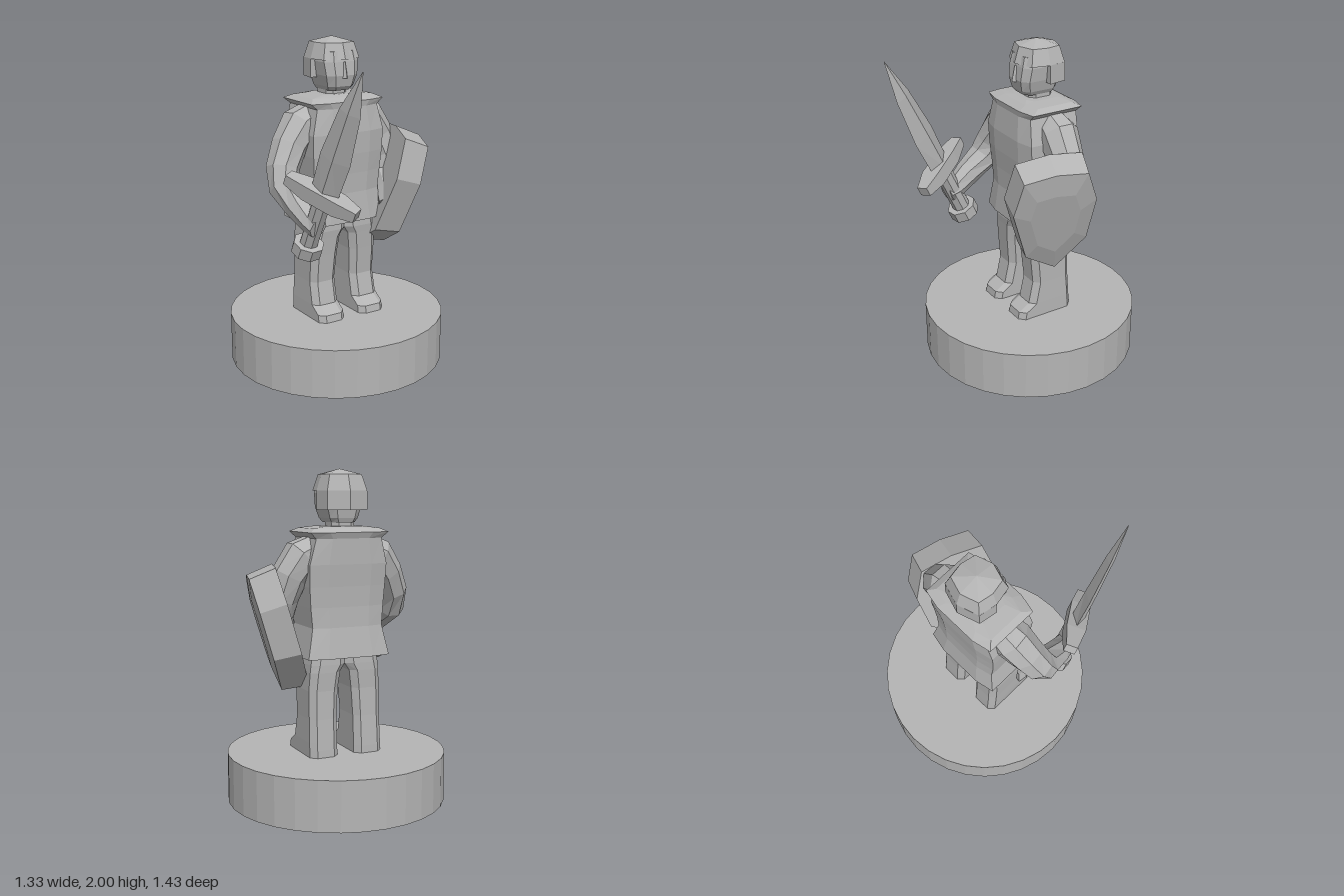
import * as THREE from 'three';

const stone = new THREE.MeshStandardMaterial({ color: 0xb4b4b4, flatShading: true });
stone.name = 'grey stone';

// Skin a stack of equal-length rings of [x, y, z] and close both ends
function loft(rings) {
  const tris = [];
  const n = rings[0].length;
  for (let k = 0; k + 1 < rings.length; k++) {
    const a = rings[k], b = rings[k + 1];
    for (let i = 0; i < n; i++) {
      const j = (i + 1) % n;
      tris.push([a[i], a[j], b[j]], [a[i], b[j], b[i]]);
    }
  }
  const cap = (r, flip) => {
    const c = [0, 1, 2].map((d) => r.reduce((s, p) => s + p[d], 0) / n);
    for (let i = 0; i < n; i++) {
      const j = (i + 1) % n;
      tris.push(flip ? [c, r[j], r[i]] : [c, r[i], r[j]]);
    }
  };
  cap(rings[0], true);
  cap(rings[rings.length - 1], false);
  // turn every face outward
  const c = rings[0][0];
  let volume = 0;
  for (const t of tris) {
    const [p, q, r] = t.map((v) => new THREE.Vector3(v[0] - c[0], v[1] - c[1], v[2] - c[2]));
    volume += p.dot(q.cross(r));
  }
  if (volume < 0) tris.forEach((t) => t.reverse());
  const g = new THREE.BufferGeometry();
  g.setAttribute('position', new THREE.Float32BufferAttribute(tris.flat(2), 3));
  g.computeVertexNormals();
  return g;
}

// Chamfered rectangular ring at height y
function boxRing(y, x0, x1, zb, zf, k = 0.55, c = 0.03) {
  const m = (x0 + x1) / 2, h = (x1 - x0) / 2;
  return [
    [m - h * k, y, zf], [m + h * k, y, zf], [x1, y, zf - c], [x1, y, zb + c],
    [m + h * k, y, zb], [m - h * k, y, zb], [x0, y, zb + c], [x0, y, zf - c],
  ];
}

// Limb through points [x, y, z, radius]
function limb(points, sides = 8) {
  const P = points.map((p) => new THREE.Vector3(p[0], p[1], p[2]));
  return loft(P.map((p, i) => {
    const t = P[Math.min(i + 1, P.length - 1)].clone().sub(P[Math.max(i - 1, 0)]).normalize();
    const u = new THREE.Vector3(0, 0, 1).addScaledVector(t, -t.z).normalize();
    const v = t.clone().cross(u);
    return Array.from({ length: sides }, (_, s) => {
      const a = ((s + 0.5) / sides) * Math.PI * 2;
      return p.clone().addScaledVector(u, Math.cos(a) * points[i][3])
        .addScaledVector(v, Math.sin(a) * points[i][3]).toArray();
    });
  }));
}

export function createModel() {
  const model = new THREE.Group();
  model.name = 'warriorStatuette';
  const add = (name, geometry, parent = model) => {
    const mesh = new THREE.Mesh(geometry, stone);
    mesh.name = name;
    parent.add(mesh);
    return mesh;
  };

  // Round plinth
  add('base', new THREE.CylinderGeometry(0.667, 0.667, 0.3, 32)).position.set(0, 0.15, -0.046);

  // Legs with feet: y, inner x, outer x, back z, front z
  const legRows = [
    [0.29, 0.055, 0.235, -0.22, 0.16], [0.345, 0.055, 0.235, -0.218, 0.15],
    [0.39, 0.055, 0.235, -0.215, 0.08], [0.53, 0.055, 0.232, -0.205, 0.05],
    [0.7, 0.045, 0.232, -0.2, 0.065], [0.81, 0.03, 0.225, -0.205, 0.075],
    [0.855, 0, 0.22, -0.205, 0.08], [0.96, 0, 0.2, -0.2, 0.075],
  ];
  for (const s of [1, -1]) {
    add(s > 0 ? 'leftLeg' : 'rightLeg', loft(legRows.map(([y, xi, xo, zb, zf]) =>
      boxRing(y, xi, xo, zb, zf, 0.6, 0.035).map(([x, py, z]) => [s * x, py, z]))));
  }

  // Tunic with flared hem and shoulder yoke: y, half width, back z, front z
  const tunicRows = [
    [0.9, 0.262, -0.262, 0.115], [1.08, 0.225, -0.235, 0.1], [1.2, 0.235, -0.232, 0.105],
    [1.32, 0.243, -0.238, 0.115], [1.45, 0.247, -0.25, 0.12], [1.6, 0.21, -0.255, 0.105],
    [1.635, 0.25, -0.268, 0.11], [1.657, 0.21, -0.225, 0.055], [1.668, 0.12, -0.19, 0.02],
  ];
  add('tunic', loft(tunicRows.map(([y, w, zb, zf]) => boxRing(y, -w, w, zb, zf, 0.55, 0.025))));

  // Neck, head and nose
  add('neck', loft([1.64, 1.71].map((y) => boxRing(y, -0.072, 0.072, -0.17, -0.015))));
  add('head', loft([
    [1.69, 0.075, -0.18, 0.02], [1.715, 0.09, -0.19, 0.04],
    [1.78, 0.108, -0.2, 0.055], [1.86, 0.118, -0.2, 0.045], [1.92, 0.11, -0.2, 0.03],
  ].map(([y, w, zb, zf]) => boxRing(y, -w, w, zb, zf, 0.6, 0.035))));
  add('nose', loft([
    [[-0.02, 1.765, 0.05], [0.02, 1.765, 0.05], [0, 1.765, 0.075]],
    [[-0.012, 1.86, 0.035], [0.012, 1.86, 0.035], [0, 1.86, 0.055]],
  ]));

  // Helmet: eight-sided cap with a lower guard round the back
  const capRing = (y, k, shift = 0) => [
    [0, 0.15], [0.125, 0.11], [0.147, 0], [0.128, -0.11],
    [0, -0.15], [-0.128, -0.11], [-0.147, 0], [-0.125, 0.11],
  ].map(([x, z]) => [x * k, y, z * k - 0.093 + shift]);
  const helmet = new THREE.Group();
  helmet.name = 'helmet';
  model.add(helmet);
  add('helmetCap', loft([capRing(1.873, 1), capRing(1.968, 0.8), capRing(2, 0.02)]), helmet);
  add('neckGuard', loft([capRing(1.763, 1.01), capRing(1.874, 1)].map((r) => r.slice(2, 7))), helmet);

  // Arms
  add('rightArm', limb([
    [-0.16, 1.53, -0.08, 0.1], [-0.24, 1.49, -0.07, 0.12], [-0.33, 1.38, -0.045, 0.108],
    [-0.395, 1.26, -0.01, 0.1], [-0.41, 1.16, 0.04, 0.095], [-0.395, 1.07, 0.17, 0.08],
    [-0.375, 1.0, 0.27, 0.065], [-0.365, 0.98, 0.33, 0.06],
  ]));
  add('leftArm', limb([
    [0.16, 1.53, -0.09, 0.1], [0.24, 1.49, -0.09, 0.12], [0.32, 1.38, -0.085, 0.108],
    [0.36, 1.25, -0.06, 0.1], [0.36, 1.14, -0.02, 0.09], [0.31, 1.05, 0.07, 0.075],
    [0.26, 0.98, 0.14, 0.06],
  ]));

  // Sword, built upright from the pommel and then leaned forward
  const sword = new THREE.Group();
  sword.name = 'sword';
  const up = new THREE.Vector3(0.04, 1.06, 0.49).normalize();
  const wide = new THREE.Vector3(0.49, -0.45, 0.745).addScaledVector(up, 0.08).normalize();
  wide.addScaledVector(up, -wide.dot(up)).normalize();
  sword.quaternion.setFromRotationMatrix(
    new THREE.Matrix4().makeBasis(wide, up, wide.clone().cross(up)));
  sword.position.set(-0.37, 0.84, 0.22);
  model.add(sword);
  add('pommel', new THREE.CylinderGeometry(0.092, 0.092, 0.07, 8), sword);
  add('grip', new THREE.CylinderGeometry(0.055, 0.055, 0.36, 8), sword).position.y = 0.18;
  add('guard', loft([
    [-0.24, 0.03, 0.035], [-0.1, 0.045, 0.06], [0.1, 0.045, 0.06], [0.22, 0.03, 0.035],
  ].map(([x, h, d]) => [[x, 0.365 - h, -d], [x, 0.365 + h, -d], [x, 0.365 + h, d], [x, 0.365 - h, d]])), sword);
  add('blade', loft([
    [0.36, 0.085, 0.04], [0.62, 0.095, 0.036], [0.92, 0.065, 0.026], [1.17, 0.002, 0.002],
  ].map(([y, w, d]) => [[w, y, 0], [0, y, d], [-w, y, 0], [0, y, -d]])), sword);

  // Thick shield: outline as [z, y] on a leaning plane, pushed along its normal
  const outline = [
    [0.275, 1.34], [0.1, 1.38], [-0.08, 1.37], [-0.165, 1.18], [-0.16, 0.9],
    [-0.01, 0.69], [0.18, 0.8], [0.3, 1.12],
  ];
  const normal = [0.92, -0.27, 0.27];
  const shieldRing = (k, push) => outline.map(([z0, y0]) => {
    const z = 0.06 + (z0 - 0.06) * k, y = 1.05 + (y0 - 1.05) * k;
    const x = 0.56 + 0.3 * (y - 1.36) - 0.28 * (z + 0.07);
    return [x + normal[0] * push, y + normal[1] * push, z + normal[2] * push];
  });
  add('shield', loft([shieldRing(1.06, -0.165), shieldRing(1, 0), shieldRing(0.6, 0.02)]));

  return model;
}
